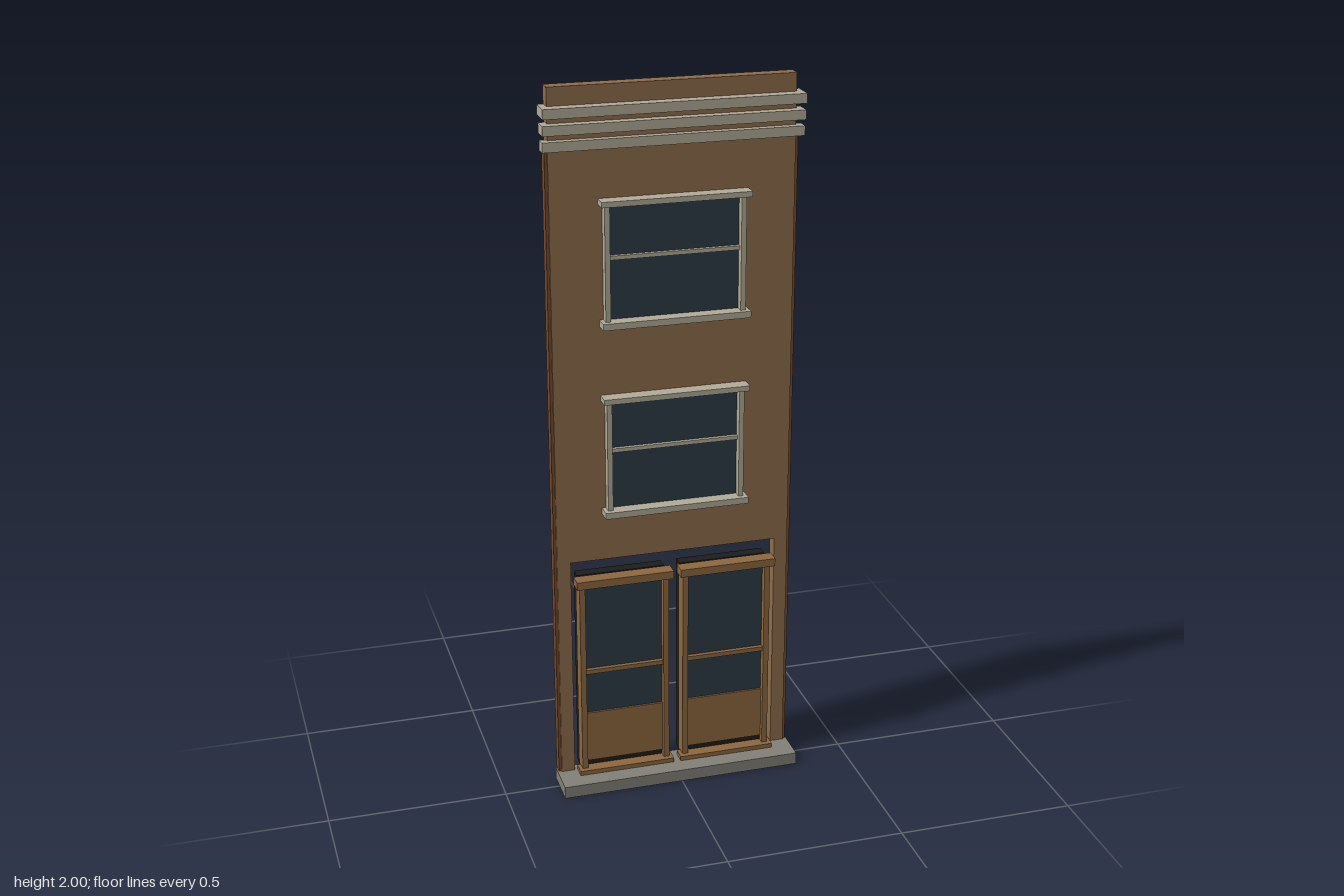
import * as THREE from 'three';

const mat = (name, color) => {
  const m = new THREE.MeshStandardMaterial({ color });
  m.name = name;
  return m;
};

export function createModel() {
  const brick = mat('brown wall', 0x8f6d4b);
  const edge = mat('dark brick edge', 0x75492f);
  const wood = mat('door wood', 0x8e6840);
  const stone = mat('pale stone', 0xb3ac99);
  const step = mat('grey step', 0x828078);
  const glass = mat('dark blue glass', 0x2d3b47);
  const black = mat('black backing', 0x1d1d1e);

  const model = new THREE.Group();
  model.name = 'shopFacade';

  // Box given by its limits on each axis
  const box = (parent, name, m, x0, x1, y0, y1, z0, z1) => {
    const mesh = new THREE.Mesh(new THREE.BoxGeometry(x1 - x0, y1 - y0, z1 - z0), m);
    mesh.position.set((x0 + x1) / 2, (y0 + y1) / 2, (z0 + z1) / 2);
    mesh.name = name;
    parent.add(mesh);
  };
  const group = (name) => {
    const g = new THREE.Group();
    g.name = name;
    model.add(g);
    return g;
  };

  // Wall with the doorway cut out of its foot
  const outline = new THREE.Shape([
    [-0.332, 0], [-0.294, 0], [-0.294, 0.686], [0.294, 0.686],
    [0.294, 0], [0.332, 0], [0.332, 2], [-0.332, 2],
  ].map(([x, y]) => new THREE.Vector2(x, y)));
  const wall = new THREE.Mesh(
    new THREE.ExtrudeGeometry(outline, { depth: 0.038, bevelEnabled: false }), brick);
  wall.position.z = -0.056;
  wall.name = 'wall';
  model.add(wall);

  // Thin brick edges
  for (const s of [-1, 1]) {
    const x = s * 0.336;
    box(model, 'wallEdge', edge, x - 0.004, x + 0.004, 0.035, 1.84, -0.052, -0.022);
  }

  // Stepped cornice
  [[1.838, 0.003, -0.03], [1.881, 0.009, -0.04], [1.925, 0.015, -0.051]].forEach(([y, zf, zb]) =>
    box(model, 'corniceBand', stone, -0.35, 0.35, y, y + 0.026, zb, zf));

  // Front step
  box(model, 'step', step, -0.344, 0.344, 0, 0.035, -0.045, 0.07);

  // Sash windows
  for (const y of [0.822, 1.36]) {
    const g = group('window');
    box(g, 'windowGlass', glass, -0.182, 0.182, y + 0.015, y + 0.335, -0.02, -0.015);
    box(g, 'windowSill', stone, -0.203, 0.203, y, y + 0.018, -0.02, 0.023);
    box(g, 'windowHead', stone, -0.203, 0.203, y + 0.33, y + 0.345, -0.02, 0.023);
    box(g, 'sashBar', stone, -0.182, 0.182, y + 0.182, y + 0.193, -0.018, -0.004);
    for (const x of [-0.192, 0.178])
      box(g, 'windowJamb', stone, x, x + 0.014, y + 0.018, y + 0.33, -0.02, 0.008);
    box(g, 'windowBacking', black, -0.19, 0.19, y + 0.005, y + 0.345, -0.066, -0.05);
  }

  // Pair of glazed doors
  for (const s of [-1, 1]) {
    const g = group(s < 0 ? 'rightDoor' : 'leftDoor');
    const c = s * 0.148;
    box(g, 'doorBacking', black, c - 0.125, c + 0.125, 0.035, 0.635, -0.073, -0.04);
    box(g, 'doorGlass', glass, c - 0.117, c + 0.117, 0.2, 0.62, -0.024, -0.016);
    box(g, 'doorKickStrip', black, c - 0.117, c + 0.117, 0.045, 0.07, -0.024, -0.016);
    box(g, 'doorPanel', wood, c - 0.117, c + 0.117, 0.064, 0.217, -0.022, -0.01);
    box(g, 'doorRail', wood, c - 0.117, c + 0.117, 0.343, 0.356, -0.02, -0.004);
    box(g, 'doorHead', wood, c - 0.138, c + 0.138, 0.618, 0.641, -0.022, 0.019);
    box(g, 'doorSill', wood, c - 0.138, c + 0.138, 0.035, 0.048, -0.022, 0.019);
    for (const x of [c - 0.128, c + 0.112])
      box(g, 'doorJamb', wood, x, x + 0.016, 0.045, 0.62, -0.04, 0.004);
  }

  return model;
}
